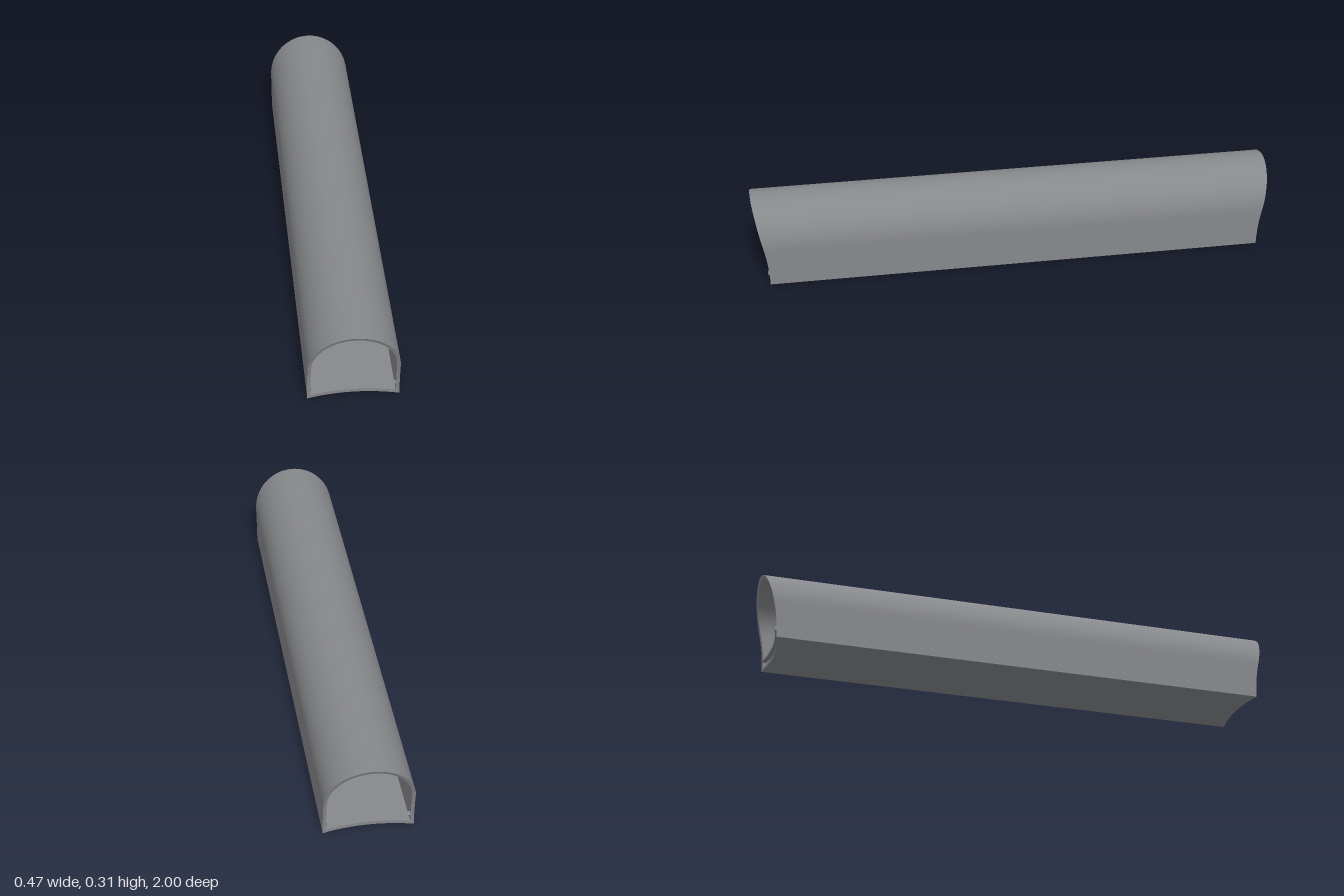
import * as THREE from 'three';
import { toCreasedNormals } from 'three/addons/utils/BufferGeometryUtils.js';

const HALF = 0.163, SPRING = 0.1445, WALL = 0.0125;

// Distance of the spherically scooped end from the centre
const endZ = (x, y) => 0.929 + 0.78 * (x * x + y * y);

// Skin a surface through successive rows of points
function loft(rows) {
  const pos = [];
  for (let i = 0; i < rows.length - 1; i++) {
    for (let j = 0; j < rows[i].length - 1; j++) {
      const a = rows[i][j], b = rows[i][j + 1];
      const c = rows[i + 1][j + 1], d = rows[i + 1][j];
      pos.push(...a, ...b, ...c, ...a, ...c, ...d);
    }
  }
  const g = new THREE.BufferGeometry();
  g.setAttribute('position', new THREE.Float32BufferAttribute(pos, 3));
  return toCreasedNormals(g, 0.6);
}

// Arched outline with a flat floor, counterclockwise from the lower -x corner
function archOutline(r, floor) {
  const pts = [];
  for (let i = 0; i < 16; i++) pts.push([-r + (2 * r * i) / 16, floor]);
  for (let i = 0; i < 8; i++) pts.push([r, floor + ((SPRING - floor) * i) / 8]);
  for (let i = 0; i < 40; i++) {
    const a = (Math.PI * i) / 40;
    pts.push([r * Math.cos(a), SPRING + r * Math.sin(a)]);
  }
  for (let i = 0; i <= 8; i++) pts.push([-r, SPRING + ((floor - SPRING) * i) / 8]);
  return pts;
}

export function createModel() {
  const grey = new THREE.MeshStandardMaterial({ color: 0x87888b });
  grey.name = 'tunnelGrey';
  const model = new THREE.Group();
  model.name = 'tunnel';
  const add = (name, geometry, parent) => {
    const mesh = new THREE.Mesh(geometry, grey);
    mesh.name = name;
    parent.add(mesh);
  };

  // Hollow shell: outside, front rim, inside and back rim
  const outer = archOutline(HALF, 0), inner = archOutline(HALF - WALL, WALL);
  const row = (outline, side) => outline.map(([x, y]) => [x, y, side * endZ(x, y)]);
  add('tunnelShell', loft([
    row(outer, -1), row(outer, 1), row(inner, 1), row(inner, -1), row(outer, -1),
  ]), model);

  // Curved sill bar across each mouth, open on its outward side
  const reach = HALF - WALL, lo = 0.033, hi = 0.049;
  const point = (x, y, dz) => [x, y, endZ(x, 0.04) + dz];
  const edge = (y, dz) => Array.from({ length: 17 },
    (_, i) => point(-reach + (2 * reach * i) / 16, y, dz));
  const OUT = 0.008, IN = -0.012;
  const barGeometry = loft([edge(hi, OUT), edge(hi, IN), edge(lo, IN), edge(lo, OUT)]);
  for (const [name, turn] of [['frontSill', 0], ['backSill', Math.PI]]) {
    const sill = new THREE.Group();
    sill.name = name;
    sill.rotation.y = turn;
    add('sillBar', barGeometry, sill);
    for (const s of [-1, 1]) {
      const x = s * reach;
      const [d0, d1] = s < 0 ? [OUT, IN] : [IN, OUT];
      add('sillEnd', loft([
        [point(x, hi, d0), point(x, hi, d1)],
        [point(x, lo, d0), point(x, lo, d1)],
      ]), sill);
    }
    model.add(sill);
  }

  // The tunnel lies slightly askew
  model.rotation.y = 0.0768;
  const root = new THREE.Group();
  root.name = 'tunnelModel';
  root.add(model);
  return root;
}
